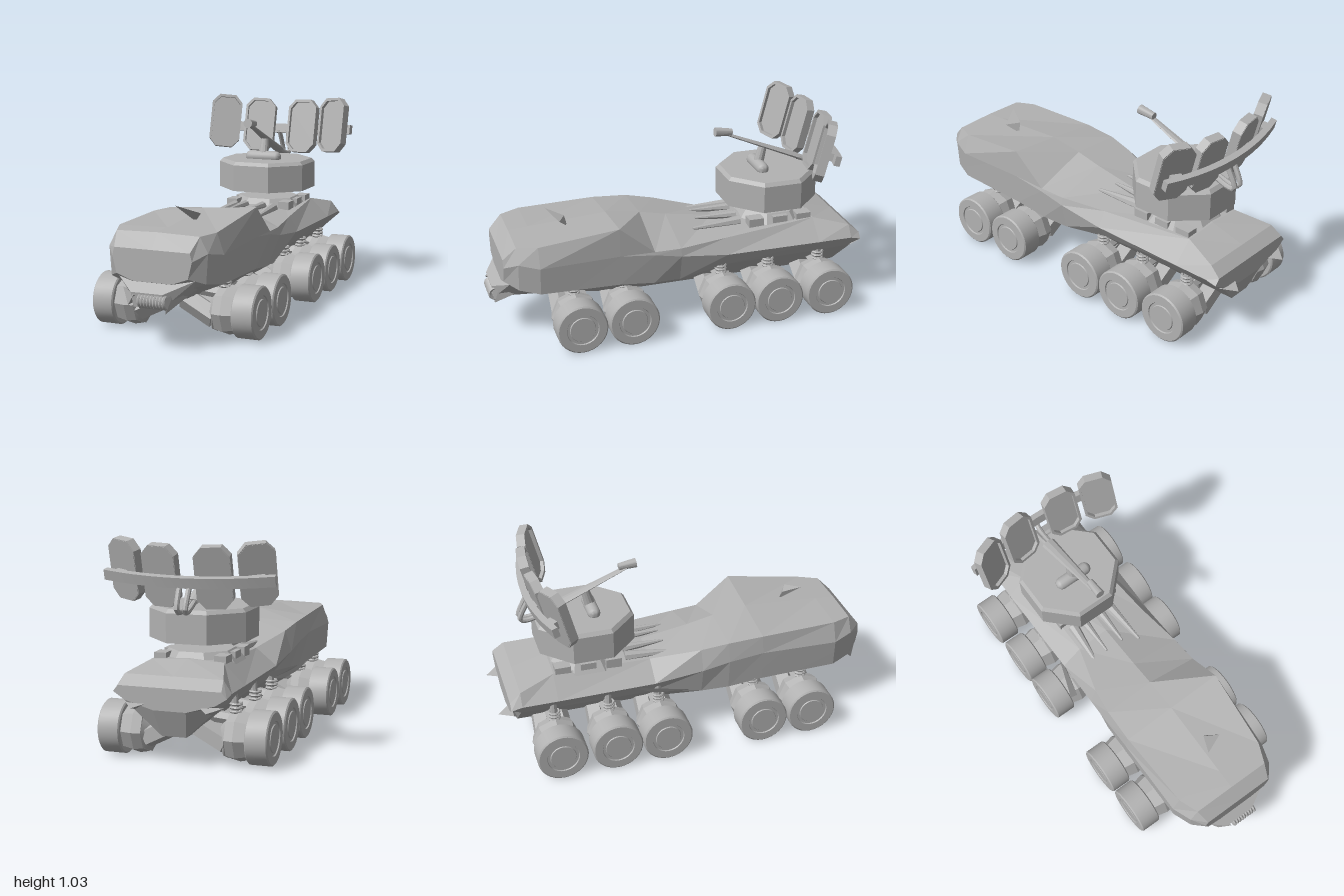
import * as THREE from 'three';
import { toCreasedNormals } from 'three/addons/utils/BufferGeometryUtils.js';

export function createModel() {
  const model = new THREE.Group();
  model.name = 'armouredRadarCarrier';
  const grey = new THREE.MeshStandardMaterial({ color: 0xb2b2b2, side: THREE.DoubleSide });

  const add = (name, geo, pos = [0, 0, 0], parent = model, crease = 0.5) => {
    const mesh = new THREE.Mesh(toCreasedNormals(geo, crease), grey);
    mesh.name = name;
    mesh.position.set(...pos);
    parent.add(mesh);
    return mesh;
  };
  // Tapered bar between two points
  const bar = (name, a, b, ra, rb, sides = 8, parent = model) => {
    const A = new THREE.Vector3(...a), B = new THREE.Vector3(...b);
    const dir = B.clone().sub(A);
    const mesh = add(name, new THREE.CylinderGeometry(rb, ra, dir.length(), sides), [0, 0, 0], parent);
    mesh.position.copy(A).add(B).multiplyScalar(0.5);
    mesh.quaternion.setFromUnitVectors(new THREE.Vector3(0, 1, 0), dir.normalize());
    return mesh;
  };
  // Faceted loft: closed rings of [x, y, z], clockwise seen from the front, front to back
  const loft = (name, rings) => {
    const n = rings[0].length, v = [];
    const tri = (a, b, c) => v.push(...a, ...b, ...c);
    for (let i = 0; i < rings.length - 1; i++) {
      for (let j = 0; j < n; j++) {
        const k = (j + 1) % n, F = rings[i], B = rings[i + 1];
        tri(F[j], F[k], B[j]);
        tri(F[k], B[k], B[j]);
      }
    }
    const first = rings[0], last = rings[rings.length - 1];
    for (let j = 1; j < n - 1; j++) {
      tri(first[0], first[j + 1], first[j]);
      tri(last[0], last[j], last[j + 1]);
    }
    const g = new THREE.BufferGeometry();
    g.setAttribute('position', new THREE.Float32BufferAttribute(v, 3));
    g.computeVertexNormals();
    return add(name, g, [0, 0, 0], model, 0.02);
  };
  // Sharp sliver with four corners
  const shard = (name, a, b, c, d) => {
    const g = new THREE.BufferGeometry();
    g.setAttribute('position', new THREE.Float32BufferAttribute(
      [a, b, c, a, c, d, a, d, b, b, d, c].flat(), 3));
    g.computeVertexNormals();
    return add(name, g, [0, 0, 0], model, 0.02);
  };

  // Hull: z, ridge y, then x,y of roof edge, shoulder, lower side and belly
  const sections = [
    [0.935, 0.46, 0.19, 0.46, 0.20, 0.42, 0.18, 0.34, 0.10, 0.31],
    [0.87, 0.53, 0.21, 0.525, 0.25, 0.45, 0.24, 0.31, 0.08, 0.25],
    [0.77, 0.535, 0.25, 0.53, 0.285, 0.43, 0.275, 0.29, 0.06, 0.20],
    [0.37, 0.56, 0.27, 0.53, 0.285, 0.44, 0.275, 0.28, 0.05, 0.13],
    [0.19, 0.535, 0.265, 0.52, 0.285, 0.42, 0.27, 0.26, 0.05, 0.13],
    [0.05, 0.505, 0.245, 0.495, 0.28, 0.39, 0.25, 0.25, 0.05, 0.13],
    [-0.20, 0.465, 0.17, 0.445, 0.275, 0.36, 0.22, 0.28, 0.05, 0.13],
    [-0.70, 0.47, 0.18, 0.46, 0.28, 0.36, 0.22, 0.285, 0.05, 0.13],
    [-0.88, 0.42, 0.24, 0.42, 0.28, 0.36, 0.22, 0.29, 0.06, 0.14],
    [-0.935, 0.375, 0.25, 0.375, 0.275, 0.345, 0.22, 0.31, 0.08, 0.27],
  ];
  // The roof edge on one side peaks, then drops to the deck
  const peak = { 0.37: [0.28, 0.585], 0.19: [0.28, 0.435], 0.05: [0.27, 0.43], [-0.2]: [0.23, 0.435] };
  loft('hull', sections.map(([z, ridge, ...p]) => {
    const right = [];
    for (let i = 0; i < 8; i += 2) right.push([p[i], p[i + 1], z]);
    const left = right.map(([x, y]) => [-x, y, z]).reverse();
    if (peak[z]) right[0] = [...peak[z], z];
    return [[0, ridge, z], ...right, ...left];
  })).position.x = 0.015;

  // Nose bumper with its ribbed coil
  loft('bumper', [
    [[-0.07, 0.27, 0.98], [0.09, 0.27, 0.98], [0.08, 0.2, 0.97], [-0.06, 0.2, 0.97]],
    [[-0.17, 0.33, 0.91], [0.22, 0.33, 0.91], [0.14, 0.23, 0.88], [-0.12, 0.23, 0.88]],
    [[-0.24, 0.33, 0.78], [0.26, 0.33, 0.78], [0.14, 0.22, 0.75], [-0.14, 0.22, 0.75]],
  ]);
  for (let i = 0; i < 9; i++) {
    const ring = add('coilRing', new THREE.TorusGeometry(0.028, 0.008, 5, 12), [-0.025 + i * 0.0155, 0.232, 0.965]);
    ring.rotation.y = Math.PI / 2;
  }
  shard('noseShard', [-0.15, 0.27, 0.9], [-0.05, 0.26, 0.99], [-0.1, 0.2, 0.95], [-0.04, 0.23, 0.9]);
  shard('noseShard', [0.1, 0.18, 0.97], [0.13, 0.27, 0.95], [0.1, 0.25, 0.98], [0.17, 0.25, 0.88]);

  // Roof fin and side and tail slivers
  shard('roofFin', [0.01, 0.622, 0.68], [0.12, 0.585, 0.63], [0.07, 0.535, 0.58], [0.05, 0.585, 0.59]);
  shard('sideBlade', [-0.33, 0.34, -0.04], [-0.29, 0.31, -0.04], [-0.23, 0.34, -0.32], [-0.25, 0.3, -0.2]);
  for (const s of [-1, 1]) {
    shard('tailShard', [s * 0.18, 0.285, -0.99], [s * 0.24, 0.3, -0.92], [s * 0.12, 0.3, -0.92], [s * 0.19, 0.26, -0.9]);
  }

  // Wheels with recessed hubs, inner drums and suspension
  const profile = [[0, -0.055], [0.121, -0.055], [0.128, -0.049], [0.128, 0.049], [0.121, 0.055],
    [0.082, 0.055], [0.079, 0.049], [0.066, 0.049], [0.063, 0.054], [0, 0.054]]
    .map(([r, y]) => new THREE.Vector2(r, y));
  for (const z of [0.595, 0.33, -0.18, -0.44, -0.72]) {
    for (const s of [-1, 1]) {
      const unit = new THREE.Group();
      unit.name = 'wheelUnit';
      unit.position.set(0, 0.128, z);
      model.add(unit);
      add('wheel', new THREE.LatheGeometry(profile, 32), [s * 0.362, 0, 0], unit).rotation.z = -s * Math.PI / 2;
      bar('hubDrum', [s * 0.31, 0, 0], [s * 0.25, 0, 0], 0.108, 0.122, 8, unit);
      bar('hubBarrel', [s * 0.25, 0, 0], [s * 0.205, 0, 0], 0.122, 0.112, 8, unit);
      bar('hubCone', [s * 0.205, 0, 0], [s * 0.165, 0.005, 0], 0.112, 0.06, 8, unit);
      for (const dz of [-0.05, 0.05]) {
        bar('suspensionArm', [s * 0.2, -0.03, dz], [s * 0.04, 0.05, dz * 0.8], 0.055, 0.055, 5, unit);
      }
      bar('upperLink', [s * 0.24, 0.075, 0], [s * 0.08, 0.09, 0], 0.03, 0.03, 6, unit);
      bar('damper', [s * 0.23, 0.08, 0], [s * 0.22, 0.2, 0], 0.018, 0.018, 8, unit);
      for (let i = 0; i < 3; i++) {
        add('springRing', new THREE.TorusGeometry(0.026, 0.007, 5, 10),
          [s * 0.23, 0.115 + i * 0.018, 0], unit).rotation.x = Math.PI / 2;
      }
    }
  }

  // Rear deck pedestal, side boxes and forward pods
  const octagon = (r, rTop, h) => new THREE.CylinderGeometry(rTop, r, h, 8).rotateY(Math.PI / 8);
  add('turretPedestal', octagon(0.21, 0.16, 0.06), [0.01, 0.465, -0.52]);
  for (const s of [-1, 1]) {
    for (const z of [-0.39, -0.52, -0.65]) {
      add('deckBox', new THREE.BoxGeometry(0.06, 0.07, 0.08), [0.01 + s * 0.15, 0.453, z]);
    }
    bar('deckPod', [s * 0.11, 0.455, -0.32], [s * 0.13, 0.455, -0.06], 0.03, 0.008);
    bar('deckPod', [s * 0.05, 0.465, -0.32], [s * 0.05, 0.475, -0.1], 0.025, 0.006);
  }

  // Octagonal turret with bevelled rim
  add('turret', octagon(0.262, 0.262, 0.14), [0.005, 0.615, -0.505]);
  add('turretTop', octagon(0.262, 0.245, 0.018), [0.005, 0.694, -0.505]);

  // Antenna mount and flat tapering boom
  add('mountRoller', new THREE.CapsuleGeometry(0.032, 0.14, 6, 16), [0, 0.715, -0.46]).rotation.z = Math.PI / 2;
  bar('mountPost', [0, 0.71, -0.46], [0, 0.81, -0.485], 0.028, 0.022, 12);
  bar('boom', [0, 0.735, -0.68], [0, 0.905, -0.27], 0.036, 0.016, 8).scale.z = 0.4;
  bar('feedHorn', [0.005, 0.91, -0.31], [0.005, 0.92, -0.22], 0.018, 0.024, 16);
  for (const s of [-1, 1]) {
    const brace = new THREE.CatmullRomCurve3([[0.01, 0.735, -0.67], [0.015, 0.7, -0.78], [0.02, 0.71, -0.82], [0.025, 0.83, -0.77]]
      .map(([x, y, z]) => new THREE.Vector3(s * x, y, z)));
    add('railBrace', new THREE.TubeGeometry(brace, 14, 0.013, 8));
  }

  // Tilted antenna array with a curved rail behind the panels
  const array = new THREE.Group();
  array.name = 'antennaArray';
  array.position.set(0, 0.86, -0.735);
  array.rotation.x = -0.25;
  model.add(array);
  const arc = new THREE.Shape();
  arc.moveTo(-0.415, -0.03);
  arc.quadraticCurveTo(0, 0.1, 0.415, -0.03);
  arc.lineTo(0.42, 0);
  arc.quadraticCurveTo(0, 0.135, -0.42, 0);
  add('panelRail', new THREE.ExtrudeGeometry(arc, { depth: 0.05, bevelEnabled: false, curveSegments: 10 })
    .rotateX(-Math.PI / 2), [0, -0.035, 0], array);

  // Four framed antenna panels
  const cutCorners = (Path, w, h, c) => new Path([[-w + c, -h], [w - c, -h], [w, -h + c * 1.1], [w, h - c * 1.1],
    [w - c, h], [-w + c, h], [-w, h - c * 1.1], [-w, -h + c * 1.1]].map(([x, y]) => new THREE.Vector2(x, y)));
  const panel = (x, y, z, yaw) => {
    const g = new THREE.Group();
    g.name = 'antennaPanel';
    g.position.set(x, y, z);
    g.rotation.y = yaw;
    array.add(g);
    const frame = cutCorners(THREE.Shape, 0.086, 0.149, 0.04);
    frame.holes.push(cutCorners(THREE.Path, 0.073, 0.134, 0.033));
    add('panelFrame', new THREE.ExtrudeGeometry(frame, { depth: 0.045, bevelEnabled: false }), [0, 0, -0.02], g);
    add('panelPlate', new THREE.ExtrudeGeometry(cutCorners(THREE.Shape, 0.083, 0.146, 0.04),
      { depth: 0.028, bevelEnabled: false }), [0, 0, -0.022], g);
    add('panelBracket', new THREE.BoxGeometry(0.06, 0.04, 0.03), [0, -0.015, -0.03], g);
  };
  for (const s of [-1, 1]) {
    panel(s * 0.129, 0, 0, -s * 0.13);
    panel(s * 0.324, 0.006, 0.048, -s * 0.4);
  }
  return model;
}
